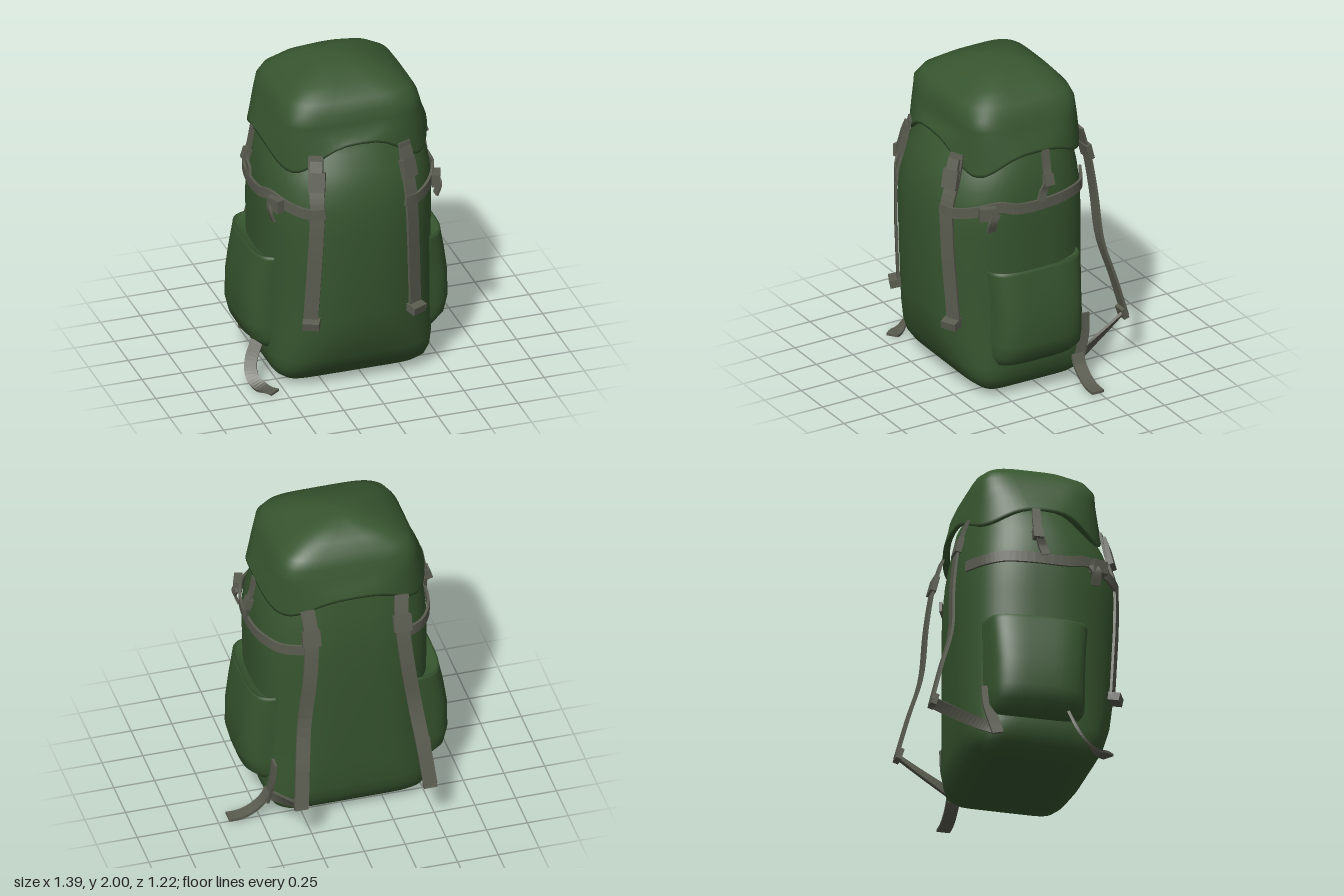
import * as THREE from 'three';

const green = new THREE.MeshStandardMaterial({ color: 0x37552f });
green.name = 'green canvas';
const grey = new THREE.MeshStandardMaterial({ color: 0x5a5c50 });
grey.name = 'grey webbing';

const SEG = 64;
const V = (x, y, z) => new THREE.Vector3(x, y, z);

// Section: [y, halfWidth, zBack, zFront, frontExponent, backExponent, centreX]
function ringPoint([y, hw, zb, zf, nf, nb, cx = 0], a) {
  const n = Math.sin(a) >= 0 ? nf : nb;
  const p = (v) => Math.sign(v) * Math.pow(Math.abs(v), 2 / n);
  return V(cx + hw * p(Math.cos(a)), y, (zb + zf) / 2 + ((zf - zb) / 2) * p(Math.sin(a)));
}

// Smooth skin over stacked sections; shape() may move each point
function loft(name, sections, shape = (p) => p) {
  const pos = [], idx = [];
  sections.forEach((s, i) => {
    for (let j = 0; j < SEG; j++) {
      const a = (j / SEG) * Math.PI * 2;
      pos.push(...shape(ringPoint(s, a), a, i).toArray());
      if (i === sections.length - 1) continue;
      const p = i * SEG + j, q = i * SEG + ((j + 1) % SEG);
      idx.push(p, p + SEG, q, q, p + SEG, q + SEG);
    }
  });
  const g = new THREE.BufferGeometry();
  g.setAttribute('position', new THREE.Float32BufferAttribute(pos, 3));
  g.setIndex(idx);
  g.computeVertexNormals();
  const m = new THREE.Mesh(g, green);
  m.name = name;
  return m;
}

// Flat webbing along a curve; w0 and w1 are the width directions at its ends
function strap(name, points, width, w0, w1 = w0, thick = 0.016) {
  const curve = new THREE.CatmullRomCurve3(points);
  const steps = points.length * 4, pos = [], idx = [];
  for (let i = 0; i <= steps; i++) {
    const c = curve.getPoint(i / steps), t = curve.getTangent(i / steps);
    const w = w0.clone().lerp(w1, i / steps);
    w.addScaledVector(t, -w.dot(t)).normalize();
    const n = t.clone().cross(w);
    for (const [a, b] of [[1, 1], [-1, 1], [-1, -1], [1, -1]]) {
      const p = c.clone().addScaledVector(w, (a * width) / 2).addScaledVector(n, (b * thick) / 2);
      pos.push(...p.toArray());
    }
    if (i === steps) continue;
    for (let k = 0; k < 4; k++) {
      const p = i * 4 + k, q = i * 4 + ((k + 1) % 4);
      idx.push(p, q, p + 4, q, q + 4, p + 4);
    }
  }
  const e = steps * 4;
  idx.push(3, 2, 1, 3, 1, 0, e, e + 1, e + 2, e, e + 2, e + 3);
  let g = new THREE.BufferGeometry();
  g.setAttribute('position', new THREE.Float32BufferAttribute(pos, 3));
  g.setIndex(idx);
  g = g.toNonIndexed();
  g.computeVertexNormals();
  const m = new THREE.Mesh(g, grey);
  m.name = name;
  return m;
}

function buckle(name, size, at, rx = 0, ry = 0, rz = 0) {
  const m = new THREE.Mesh(new THREE.BoxGeometry(...size), grey);
  m.name = name;
  m.position.copy(at);
  m.rotation.set(rx, ry, rz, 'YXZ');
  return m;
}

// Boxy base turning into a rounded front higher up
const BODY = [
  [0.01, 0, 0.05, 0.05, 8, 8], [0.01, 0.33, -0.2, 0.27, 8, 8], [0.03, 0.42, -0.28, 0.35, 8, 8],
  [0.07, 0.47, -0.325, 0.4, 6.5, 6.5], [0.13, 0.5, -0.35, 0.45, 4.8, 5], [0.2, 0.515, -0.37, 0.49, 3.7, 4.2],
  [0.35, 0.522, -0.38, 0.545, 2.7, 3.5], [0.5, 0.525, -0.385, 0.57, 2.4, 3.2], [0.8, 0.525, -0.39, 0.59, 2.3, 3],
  [1.05, 0.53, -0.39, 0.595, 2.3, 3], [1.22, 0.53, -0.385, 0.59, 2.3, 2.9], [1.35, 0.518, -0.375, 0.565, 2.25, 2.8],
  [1.45, 0.495, -0.36, 0.525, 2.2, 2.7], [1.55, 0.465, -0.34, 0.47, 2.2, 2.7], [1.65, 0.42, -0.32, 0.41, 2.4, 2.7],
  [1.7, 0, 0, 0, 3, 3],
];

// Body section at any height
function bodyAt(y) {
  let i = 1;
  while (i < BODY.length - 2 && BODY[i + 1][0] < y) i++;
  const a = BODY[i], b = BODY[i + 1], t = (y - a[0]) / (b[0] - a[0]);
  return a.map((v, k) => v + (b[k] - v) * t);
}
// Body front surface at x, y
function frontZ(x, y) {
  const [, hw, zb, zf, n] = bodyAt(y);
  return (zb + zf) / 2 + ((zf - zb) / 2) * Math.pow(1 - Math.pow(Math.abs(x) / hw, n), 1 / n);
}
// Point just outside the body at an angle around it
function around(s, y, deg, gap) {
  const [h, hw, zb, zf, nf, nb] = bodyAt(y);
  const p = ringPoint([h, hw + gap, zb - gap, zf + gap, nf, nb], (deg * Math.PI) / 180);
  p.x *= s;
  return p;
}

const LID = [
  [1.5, 0.46, -0.35, 0.45, 2.7, 2.7], [1.5, 0.512, -0.385, 0.488, 2.8, 2.9], [1.52, 0.512, -0.385, 0.49, 2.8, 2.9],
  [1.66, 0.48, -0.365, 0.458, 3.3, 3.3], [1.73, 0.455, -0.34, 0.44, 3.9, 4.2], [1.8, 0.43, -0.32, 0.43, 4.6, 5.4],
  [1.86, 0.39, -0.295, 0.39, 4.6, 5.4], [1.925, 0.3, -0.24, 0.3, 3.8, 4.2], [1.975, 0.175, -0.165, 0.17, 3, 3],
  [1.994, 0.08, -0.08, 0.08, 2.4, 2.4], [2, 0, 0, 0, 2, 2],
];

// Pocket levels: [y, outer x, zBack, zFront]
const POCKET = [
  [0.19, 0.02, 0, 0.05], [0.19, 0.46, -0.13, 0.21], [0.23, 0.55, -0.2, 0.27],
  [0.29, 0.615, -0.23, 0.29], [0.38, 0.638, -0.235, 0.295], [0.55, 0.635, -0.235, 0.295],
  [0.7, 0.612, -0.235, 0.3], [0.83, 0.585, -0.235, 0.31], [0.85, 0.582, -0.235, 0.31],
  [0.852, 0.572, -0.225, 0.3], [0.83, 0.562, -0.215, 0.29], [0.8, 0.45, -0.02, 0.05],
];

export function createModel() {
  const root = new THREE.Group();
  root.name = 'backpack';
  const pack = new THREE.Group();
  pack.name = 'pack';
  pack.position.x = -0.05;
  root.add(pack);
  const X = V(1, 0, 0), Y = V(0, 1, 0), Z = V(0, 0, 1);

  pack.add(loft('mainBody', BODY));

  // Lid with a scalloped lip, arched at the front and dipping at the corners
  pack.add(loft('lid', LID, (p, a, i) => {
    if (i > 2) return p;
    const s = Math.sin(a), c = Math.cos(2 * a);
    p.y = 1.465 - 0.03 * s + (0.11 + 0.04 * s + 0.03 * s * s) * c * c + [0.02, 0, 0.02][i];
    return p;
  }));

  for (const s of [1, -1]) {
    const side = new THREE.Group();
    side.name = s > 0 ? 'leftSide' : 'rightSide';
    pack.add(side);
    const P = (x, y, z) => V(s * x, y, z);

    // Open side pocket, flaring towards the body
    side.add(loft('sidePocket', POCKET.map(([y, xo, zb, zf], i) =>
      [y, i ? (xo - 0.3) / 2 : 0, zb, zf, 3.6, 3.6, (s * (xo + 0.3)) / 2]), (p) => {
      p.z = 0.03 + s * 0.02 + (p.z - 0.03) * (1 + 0.75 * (0.64 - Math.abs(p.x)));
      return p;
    }));

    // Long front strap with buckles, lying on the rounded front
    const front = [1.4, 1.25, 1, 0.75, 0.5].map((y) => {
      const x = 0.285 + (1.4 - y) * 0.045;
      return P(x, y, frontZ(x, y) + 0.015);
    });
    const slant = P(1, 0, -0.5).multiplyScalar(s);
    side.add(strap('frontStrap', [P(0.275, 1.57, 0.462), P(0.28, 1.5, 0.475), ...front], 0.088, slant));
    side.add(buckle('frontBuckle', [0.1, 0.12, 0.04], P(0.285, 1.42, 0.51), -0.25, s * 0.46));
    side.add(buckle('frontBuckleClip', [0.075, 0.07, 0.035], P(0.28, 1.51, 0.487), -0.35, s * 0.46));
    side.add(buckle('lowerBuckle', [0.1, 0.05, 0.08], P(0.325, 0.49, 0.53), 0.2, s * 0.46));

    // Compression strap around the side
    const wrap = [[1.23, 66], [1.22, 57], [1.23, 47], [1.25, 36], [1.275, 22], [1.25, 8], [1.25, -10], [1.255, -28], [1.25, -45], [1.26, -66]];
    side.add(strap('sideStrap', wrap.map(([y, d]) => around(s, y, d, 0.016)), 0.065, Y));
    side.add(buckle('sideBuckle', [0.05, 0.08, 0.1], around(s, 1.25, 30, 0.04), 0, -s * 0.35));
    side.add(strap('sideStrapEnd', [around(s, 1.25, 24, 0.04), around(s, 1.2, 26, 0.05), around(s, 1.13, 27, 0.03)], 0.055, Z));

    // Lid tightening strap at the side
    side.add(strap('lidStrap', [P(0.51, 1.58, 0), P(0.53, 1.47, 0), P(0.555, 1.39, 0.01), P(0.545, 1.33, 0.03), P(0.55, 1.27, 0.05)], 0.05, Z));
    side.add(buckle('lidStrapBuckle', [0.04, 0.07, 0.06], P(0.55, 1.4, 0), 0, 0, s * 0.3));

    // Shoulder strap
    side.add(strap('shoulderStrap', [P(0.29, 1.55, -0.36), P(0.28, 1.46, -0.39), P(0.28, 1.33, -0.425),
      P(0.3, 1.1, -0.455), P(0.34, 0.8, -0.475), P(0.37, 0.55, -0.545), P(0.395, 0.3, -0.61)], 0.085, X));
    side.add(buckle('shoulderAnchor', [0.11, 0.1, 0.035], P(0.28, 1.38, -0.415), 0.25));
    side.add(buckle('shoulderBuckle', [0.08, 0.07, 0.035], P(0.395, 0.31, -0.595), 0.3));
    side.add(strap('lowerShoulderStrap', [P(0.395, 0.3, -0.6), P(0.42, 0.24, -0.48), P(0.45, 0.18, -0.35), P(0.48, 0.14, -0.25)],
      0.07, P(0.8, 1, 0), P(0.1, 1, 0)));
    side.add(strap('strapAnchor', [P(0.47, 0.41, -0.29), P(0.48, 0.28, -0.28), P(0.49, 0.17, -0.25), P(0.5, 0.1, -0.23)], 0.07, Z));
  }

  // Loose webbing tails resting on the ground
  pack.add(strap('leftTail', [V(0.49, 0.17, -0.23), V(0.53, 0.1, -0.23), V(0.6, 0.045, -0.23), V(0.67, 0.02, -0.23), V(0.74, 0.018, -0.23)], 0.08, Z));
  pack.add(strap('rightTail', [V(-0.55, 0.25, 0.2), V(-0.6, 0.14, 0.23), V(-0.61, 0.06, 0.28), V(-0.58, 0.02, 0.35), V(-0.52, 0.018, 0.44)],
    0.075, V(1, 0, 0.6)));

  return root;
}
